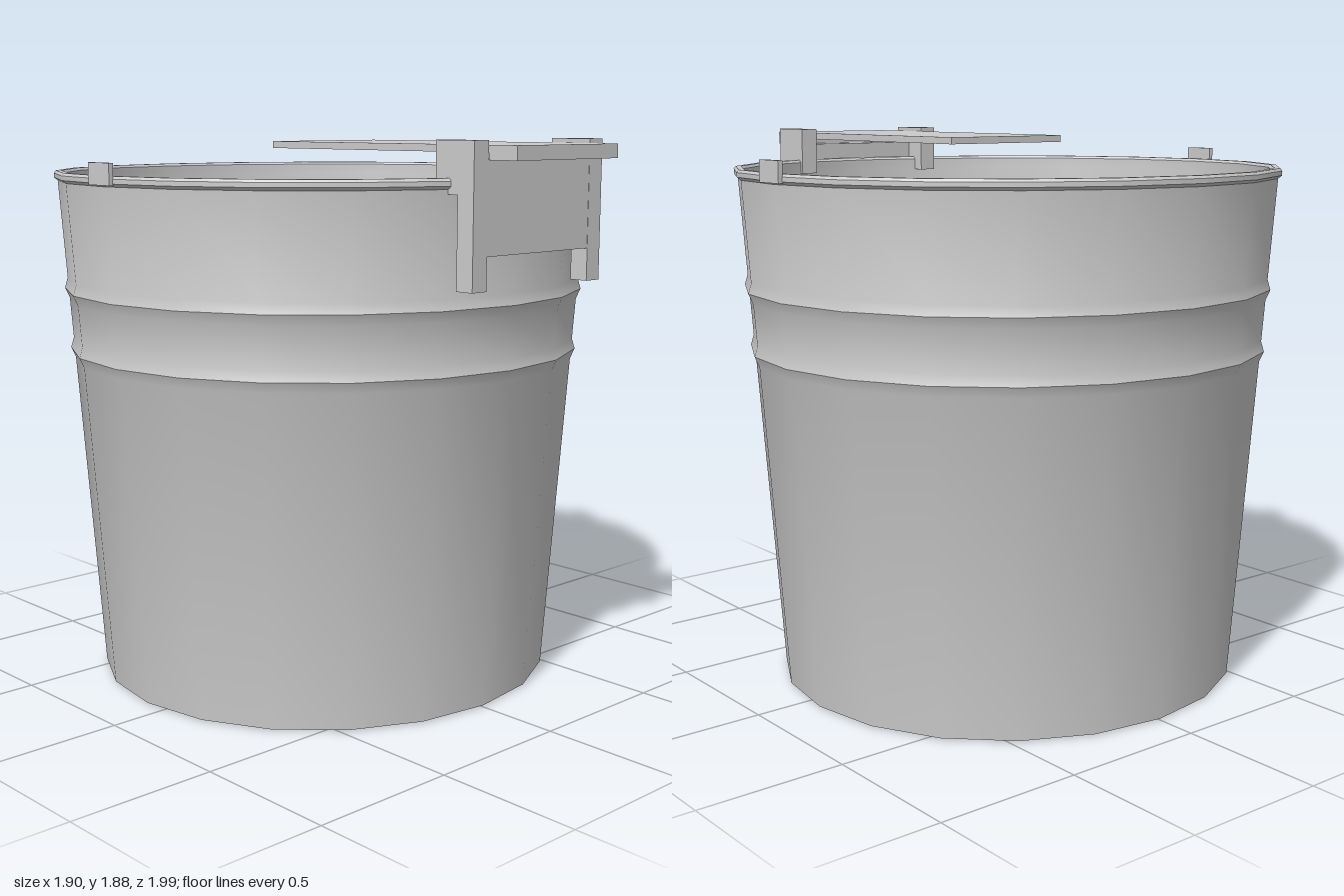
import * as THREE from 'three';
import { toCreasedNormals } from 'three/addons/utils/BufferGeometryUtils.js';

const material = new THREE.MeshStandardMaterial({ color: 0xcccccc });

// Box given by its minimum and maximum corners
function box(name, [x0, y0, z0], [x1, y1, z1]) {
  const mesh = new THREE.Mesh(new THREE.BoxGeometry(x1 - x0, y1 - y0, z1 - z0), material);
  mesh.position.set((x0 + x1) / 2, (y0 + y1) / 2, (z0 + z1) / 2);
  mesh.name = name;
  return mesh;
}

// Tapered wall radius at a height
const wall = (y) => 0.81 + (0.935 - 0.81) * (y / 1.745);

function createBucket() {
  const thickness = 0.02;
  const profile = [[0, 0], [0.81, 0.005]];
  // Two pressed ridges around the wall
  const ridges = [1.155, 1.365];
  for (const y of ridges) {
    profile.push([wall(y - 0.035), y - 0.035], [wall(y) + 0.013, y], [wall(y + 0.035), y + 0.035]);
  }
  // Rolled rim
  profile.push([wall(1.735), 1.735], [0.947, 1.745], [0.947, 1.76], [0.94, 1.769], [0.922, 1.769], [0.914, 1.76], [0.914, 1.745]);
  // Inside wall and floor
  profile.push([wall(1.72) - thickness, 1.72], [0.788, 0.015], [0, 0.015]);
  const lathe = new THREE.LatheGeometry(profile.map(([r, y]) => new THREE.Vector2(r, y)), 20);
  lathe.scale(1, 1, 0.97);
  const mesh = new THREE.Mesh(toCreasedNormals(lathe, 0.6), material);
  mesh.position.z = -0.076;
  mesh.name = 'bucket';
  return mesh;
}

function createBracket() {
  const bracket = new THREE.Group();
  bracket.name = 'rampBracket';
  // Hooked posts that hang over the rim
  const hook = new THREE.Shape();
  [[0.89, 1.43], [0.89, 1.882], [0.735, 1.882], [0.735, 1.72], [0.825, 1.72], [0.825, 1.43]]
    .forEach(([z, y], i) => (i ? hook.lineTo(-z, y) : hook.moveTo(-z, y)));
  const geometry = new THREE.ExtrudeGeometry(hook, { depth: 0.063, bevelEnabled: false });
  geometry.rotateY(Math.PI / 2);
  for (const [name, x] of [['rightPost', -0.285], ['leftPost', 0.26]]) {
    const post = new THREE.Mesh(geometry, material);
    post.position.x = x;
    post.name = name;
    bracket.add(post);
  }
  bracket.add(box('frontPanel', [-0.223, 1.535, 0.815], [0.261, 1.825, 0.889]));
  return bracket;
}

function createPlank() {
  const plank = new THREE.Group();
  plank.name = 'plank';
  plank.add(box('plankBoard', [-0.22, 1.845, -0.095], [0.26, 1.868, 0.89]));
  plank.add(box('plankLip', [-0.22, 1.823, 0.89], [0.26, 1.868, 1]));
  return plank;
}

export function createModel() {
  const model = new THREE.Group();
  model.name = 'bucketWithPlank';
  model.add(createBucket(), createBracket(), createPlank());
  // Small handle tabs on both sides of the rim
  for (const side of [-1, 1]) {
    const tab = box(side < 0 ? 'rightTab' : 'leftTab', [-0.008, 1.74, -0.132], [0.008, 1.81, -0.02]);
    tab.position.x = side * 0.943;
    model.add(tab);
  }
  return model;
}
